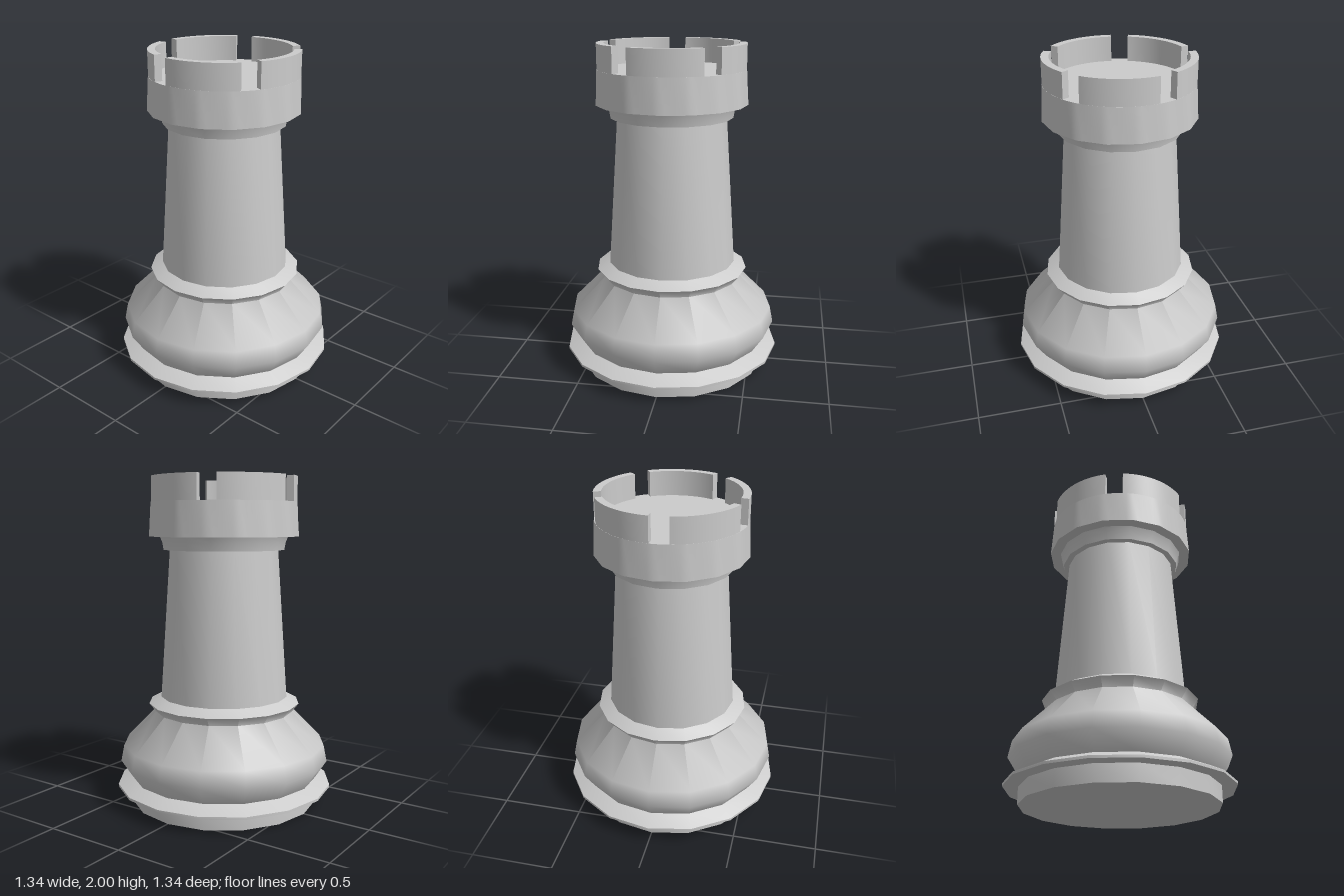
import * as THREE from 'three';
import { toCreasedNormals } from 'three/addons/utils/BufferGeometryUtils.js';

const SIDES = 16;
const material = new THREE.MeshStandardMaterial({ color: 0xcccccc, side: THREE.DoubleSide });

function lathe(profile, segments) {
  return new THREE.LatheGeometry(profile.map(([r, y]) => new THREE.Vector2(r, y)), segments);
}

function addPart(group, name, geometry, crease) {
  const mesh = new THREE.Mesh(toCreasedNormals(geometry, crease), material);
  mesh.name = name;
  group.add(mesh);
  return mesh;
}

export function createModel() {
  const group = new THREE.Group();
  group.name = 'rook';

  // Foot with its thin flared rim
  addPart(group, 'foot', lathe([
    [0, 0], [0.58, 0], [0.58, 0.1], [0.67, 0.1], [0.67, 0.115], [0.58, 0.157],
  ], SIDES), 0.45);

  // Swelling base that narrows to a waist and flares into a ring
  addPart(group, 'base', lathe([
    [0.58, 0.157], [0.65, 0.265], [0.63, 0.365], [0.43, 0.57], [0.47, 0.622], [0.395, 0.662],
  ], SIDES), 1.45);

  // Tapering column
  addPart(group, 'column', lathe([[0.395, 0.655], [0.333, 1.565]], SIDES), 0.6);

  // Collar below the crown
  addPart(group, 'collar', lathe([
    [0.333, 1.565], [0.37, 1.565], [0.378, 1.61], [0.392, 1.645],
  ], SIDES), 0.6);

  // Crown drum: sixteen-sided at the bottom, blending to round at the top
  const drum = lathe([[0.36, 1.645], [0.457, 1.645], [0.443, 1.85], [0, 1.85]], 80);
  const pos = drum.attributes.position;
  const step = (Math.PI * 2) / SIDES;
  for (let i = 0; i < pos.count; i++) {
    if (pos.getY(i) > 1.7) continue;
    const angle = Math.atan2(pos.getZ(i), pos.getX(i)) + Math.PI * 2;
    const offset = ((angle + 1e-6) % step) - step / 2;
    const scale = Math.cos(step / 2) / Math.cos(offset);
    pos.setXYZ(i, pos.getX(i) * scale, pos.getY(i), pos.getZ(i) * scale);
  }
  addPart(group, 'crownDrum', drum, 0.6);

  // Five battlements standing on the drum
  const half = THREE.MathUtils.degToRad(28.8);
  const shape = new THREE.Shape();
  shape.absarc(0, 0, 0.442, -half, half, false);
  shape.absarc(0, 0, 0.397, half, -half, true);
  const battlement = new THREE.ExtrudeGeometry(shape, { depth: 0.15, bevelEnabled: false, curveSegments: 12 });
  battlement.rotateX(-Math.PI / 2);
  for (let k = 0; k < 5; k++) {
    const mesh = addPart(group, 'battlement' + (k + 1), battlement, 0.5);
    mesh.position.y = 1.85;
    mesh.rotation.y = -THREE.MathUtils.degToRad(14.3 + 72 * k);
  }

  return group;
}
